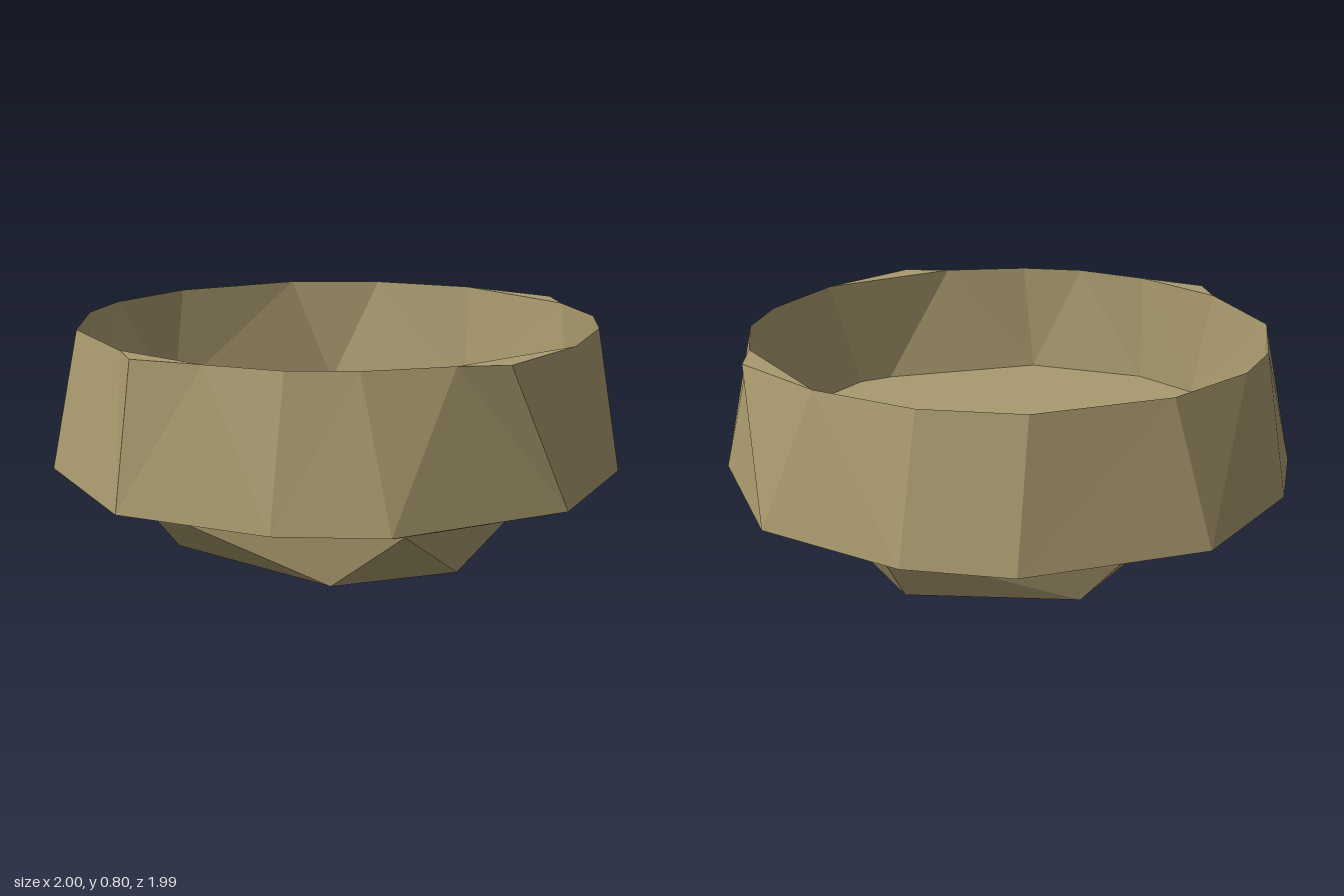
import * as THREE from 'three';

const clay = new THREE.MeshStandardMaterial({ color: 0xa99a6e, flatShading: true });
clay.name = 'clay';

// A horizontal ring of [x, z] corners at height y, sorted by angle
function ring(y, corners) {
  return corners
    .map(([x, z]) => new THREE.Vector3(x, y, z))
    .sort((a, b) => Math.atan2(a.z, a.x) - Math.atan2(b.z, b.x));
}

function meshFrom(name, points) {
  const geometry = new THREE.BufferGeometry().setFromPoints(points);
  geometry.computeVertexNormals();
  const mesh = new THREE.Mesh(geometry, clay);
  mesh.name = name;
  return mesh;
}

// Joins two rings with triangles, always taking the shorter diagonal
function band(name, a, b) {
  const points = [];
  const at = (r, i) => r[i % r.length];
  let i = 0, j = 0;
  while (i < a.length || j < b.length) {
    const p = at(a, i), q = at(b, j), p2 = at(a, i + 1), q2 = at(b, j + 1);
    const stepA = j >= b.length || (i < a.length && p2.distanceTo(q) < p.distanceTo(q2));
    const tri = stepA ? [p, q, p2] : [p, q, q2];
    if (new THREE.Triangle(...tri).getArea() > 1e-5) points.push(...tri);
    if (stepA) i++; else j++;
  }
  return meshFrom(name, points);
}

// Fills a convex ring
function cap(name, r, up) {
  const points = [];
  for (let i = 1; i < r.length - 1; i++) {
    points.push(r[0], ...(up ? [r[i + 1], r[i]] : [r[i], r[i + 1]]));
  }
  return meshFrom(name, points);
}

export function createModel() {
  const base = ring(0, [[-0.55, -0.2], [0.01, -0.59], [0.53, -0.3], [0.54, 0.2], [0.1, 0.58], [-0.34, 0.47]]);
  const neck = ring(0.21, [[-0.75, -0.07], [-0.13, -0.72], [0.65, -0.35], [0.56, 0.46], [-0.21, 0.71]]);
  const shoulder = ring(0.295, [
    [-0.93, -0.41], [-0.71, -0.71], [-0.24, -1], [0.41, -0.93], [0.71, -0.71], [1, -0.23],
    [0.93, 0.4], [0.71, 0.7], [0.23, 0.99], [-0.41, 0.92], [-0.71, 0.7], [-1, 0.23],
  ]);
  const lip = [
    [-0.86, -0.33], [-0.67, -0.63], [-0.48, -0.79], [-0.14, -0.91], [0.34, -0.865], [0.63, -0.67], [0.85, -0.36],
    [0.9, 0.15], [0.81, 0.43], [0.66, 0.63], [0.37, 0.84], [-0.15, 0.89], [-0.44, 0.79], [-0.63, 0.66],
    [-0.79, 0.44], [-0.9, 0.09],
  ];
  const innerRim = ring(0.795, lip);
  // The outer rim has three extra corners that widen the lip
  const outerRim = ring(0.795, [...lip, [0.97, 0], [0, 0.97], [-0.94, 0.24]]);
  const floor = ring(0.39, [
    [-0.77, -0.47], [-0.2, -0.885], [0.47, -0.77], [0.82, -0.33], [0.86, 0.26], [0.62, 0.62],
    [0.25, 0.85], [0.12, 0.86], [-0.47, 0.76], [-0.79, 0.44], [-0.87, 0.18],
  ]);

  const bowl = new THREE.Group();
  bowl.name = 'bowl';
  bowl.add(
    cap('footBottom', base, false),
    band('foot', base, neck),
    band('underside', neck, shoulder),
    band('outerWall', shoulder, outerRim),
    band('lip', outerRim, innerRim),
    band('innerWall', innerRim, floor),
    cap('bowlFloor', floor, true),
  );
  return bowl;
}
